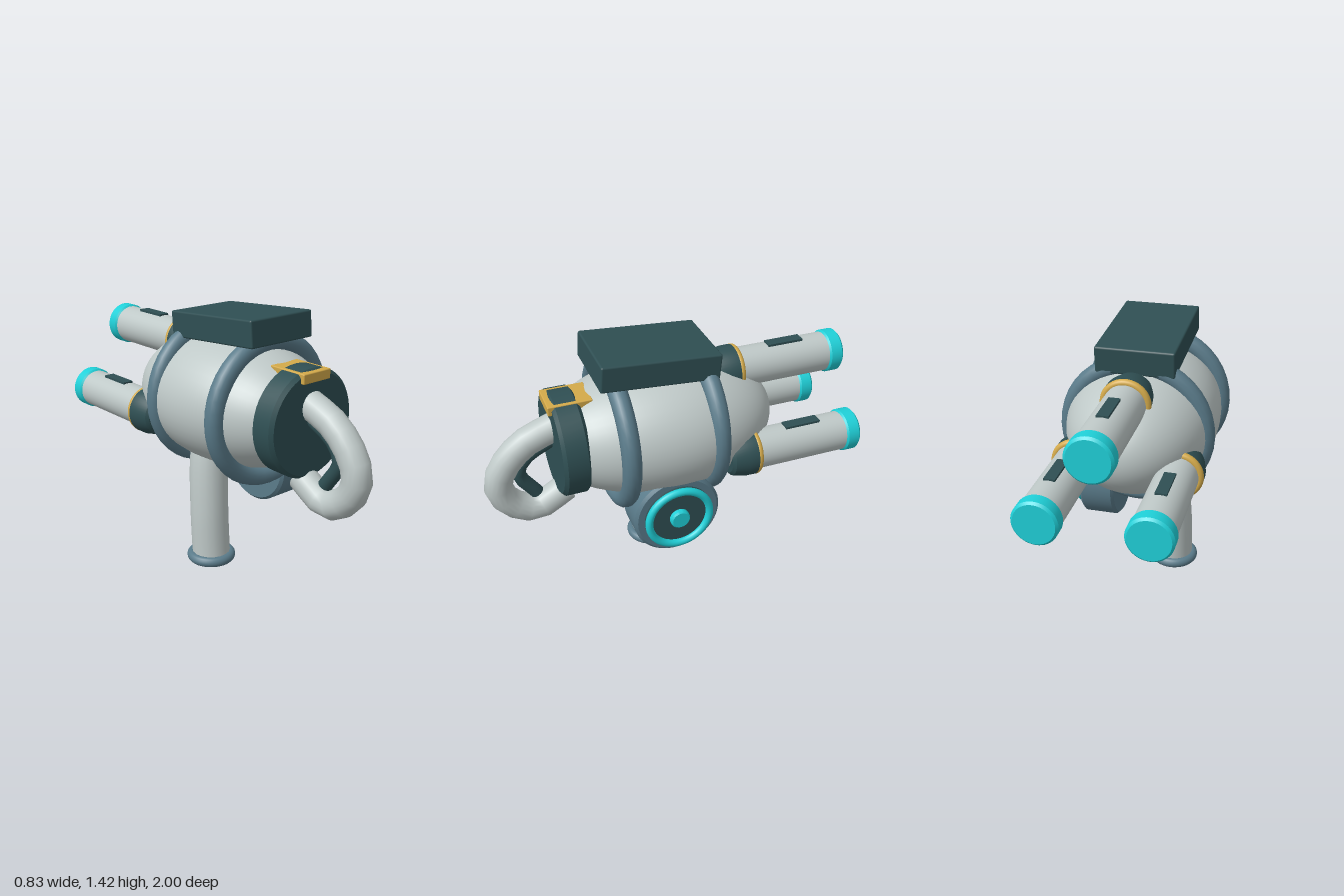
import * as THREE from 'three';
import { toCreasedNormals } from 'three/addons/utils/BufferGeometryUtils.js';
import { RoundedBoxGeometry } from 'three/addons/geometries/RoundedBoxGeometry.js';

const material = (name, color, side = THREE.FrontSide) => {
  const m = new THREE.MeshStandardMaterial({ color, side });
  m.name = name;
  return m;
};

export function createModel() {
  const shell = material('paleGrey', 0xbec8c7, THREE.DoubleSide);
  const dark = material('darkTeal', 0x2f4f53);
  const slate = material('slateBlue', 0x5a7b8a);
  const cyan = material('cyan', 0x1fd0d8);
  const gold = material('gold', 0xd4aa4a);

  const model = new THREE.Group();
  model.name = 'model';
  const V = (x, y, z) => new THREE.Vector3(x, y, z);
  const V2 = ([r, y]) => new THREE.Vector2(r, y);

  const add = (parent, name, geometry, mat, position = [0, 0, 0]) => {
    const mesh = new THREE.Mesh(geometry, mat);
    mesh.name = name;
    mesh.position.set(...position);
    parent.add(mesh);
    return mesh;
  };
  // Turned part around y, with crisp edges
  const turned = (profile, segments = 48) =>
    toCreasedNormals(new THREE.LatheGeometry(profile.map(V2), segments), 0.45);
  // Cylinder from y0 to y1 with chamfered rims
  const drum = (r, y0, y1, c) =>
    turned([[0, y0], [r - c, y0], [r, y0 + c], [r, y1 - c], [r - c, y1], [0, y1]]);
  // Torus lying around the y axis
  const hoop = (R, r) => new THREE.TorusGeometry(R, r, 14, 48).rotateX(Math.PI / 2);
  // Bent pipe, optionally with a closed far end
  const pipe = (parent, name, points, radius, segments, mat, closed) => {
    const curve = new THREE.CatmullRomCurve3(points);
    add(parent, name, new THREE.TubeGeometry(curve, segments, radius, 18), mat);
    if (closed) {
      const cap = add(parent, name + 'End', new THREE.CircleGeometry(radius, 18), mat);
      const end = curve.getPointAt(1);
      cap.position.copy(end);
      cap.lookAt(end.clone().add(curve.getTangentAt(1)));
    }
  };

  // Egg-shaped body: longer curve at the nose, cut off inside the front cap
  const profile = [];
  for (let i = 0; i <= 32; i++) {
    const z = i <= 20 ? -0.595 * Math.cos((i / 20) * Math.PI / 2) : 0.6 * (i - 20) / 12;
    profile.push([0.4 * Math.sqrt(Math.max(0, 1 - (z / (z < 0 ? 0.595 : 0.68)) ** 2)), z]);
  }
  const bodyGeometry = new THREE.LatheGeometry(profile.map(V2), 48);
  bodyGeometry.rotateX(Math.PI / 2).scale(1, 0.88, 1);
  add(model, 'body', bodyGeometry, shell, [0, 0.92, 0]);

  // Two hoops around the body
  for (const z of [0.305, -0.175])
    add(model, 'bodyHoop', new THREE.TorusGeometry(0.363, 0.05, 14, 40), slate, [0, 0.92, z]);

  // Front cap and its buckle
  add(model, 'frontCap', drum(0.283, 0.48, 0.625, 0.018).rotateX(Math.PI / 2), dark, [0, 0.92, 0]);
  add(model, 'buckle', new RoundedBoxGeometry(0.184, 0.052, 0.232, 2, 0.006), gold, [0, 1.167, 0.529]);

  // Tilted block on top
  const block = add(model, 'topBlock', new RoundedBoxGeometry(0.415, 0.14, 0.63, 2, 0.01), dark, [0, 1.332, 0.086]);
  block.rotation.x = -0.077;

  // Hooked pipe at the front, with a dark grip lining its inside
  pipe(model, 'hookPipe', [
    V(0, 1.02, 0.6), V(0, 0.955, 0.76), V(0, 0.845, 0.875), V(0, 0.725, 0.924),
    V(0, 0.61, 0.88), V(0, 0.533, 0.743), V(0, 0.625, 0.56),
  ], 0.076, 12, shell, true);
  pipe(model, 'hookGrip', [
    V(0, 0.95, 0.61), V(0, 0.865, 0.765), V(0, 0.775, 0.812), V(0, 0.63, 0.725),
  ], 0.038, 8, dark, true);

  // Bent leg and foot ring
  pipe(model, 'leg', [
    V(-0.167, 0.03, 0.037), V(-0.163, 0.3, 0.018), V(-0.14, 0.56, -0.01), V(-0.1, 0.75, -0.03),
  ], 0.105, 16, shell, false);
  add(model, 'footRing', hoop(0.107, 0.028), slate, [-0.167, 0.03, 0.037]);

  // Side wheel, facing +x
  const wheel = new THREE.Group();
  wheel.name = 'sideWheel';
  wheel.position.set(0, 0.525, 0.047);
  wheel.rotation.z = -Math.PI / 2;
  model.add(wheel);
  add(wheel, 'wheelDrum', drum(0.24, 0.135, 0.33, 0.015), slate);
  add(wheel, 'wheelFace', drum(0.188, 0.32, 0.348, 0.005), dark);
  add(wheel, 'wheelRing', hoop(0.171, 0.021), cyan, [0, 0.354, 0]);
  add(wheel, 'wheelButton', drum(0.054, 0.34, 0.378, 0.008), cyan);

  // Three barrels pointing backward; local y runs to the rear, local z is up
  for (const [x, y] of [[0, 1.16], [-0.268, 0.802], [0.268, 0.802]]) {
    const barrel = new THREE.Group();
    barrel.name = 'barrel';
    barrel.position.set(x, y, 0);
    barrel.rotation.x = -Math.PI / 2;
    model.add(barrel);
    add(barrel, 'barrelTube', turned([[0, 0.27], [0.107, 0.27], [0.107, 0.93], [0, 0.93]]), shell);
    add(barrel, 'barrelCollar',
      turned([[0, 0.245], [0.095, 0.245], [0.112, 0.26], [0.129, 0.33], [0.13, 0.385], [0, 0.385]]), dark);
    add(barrel, 'barrelBand', hoop(0.111, 0.02), gold, [0, 0.393, 0]);
    add(barrel, 'barrelTip', drum(0.116, 0.915, 1, 0.012), cyan);
    add(barrel, 'barrelSlot', new THREE.BoxGeometry(0.058, 0.2, 0.03), dark, [0, 0.68, 0.1]);
  }
  return model;
}
